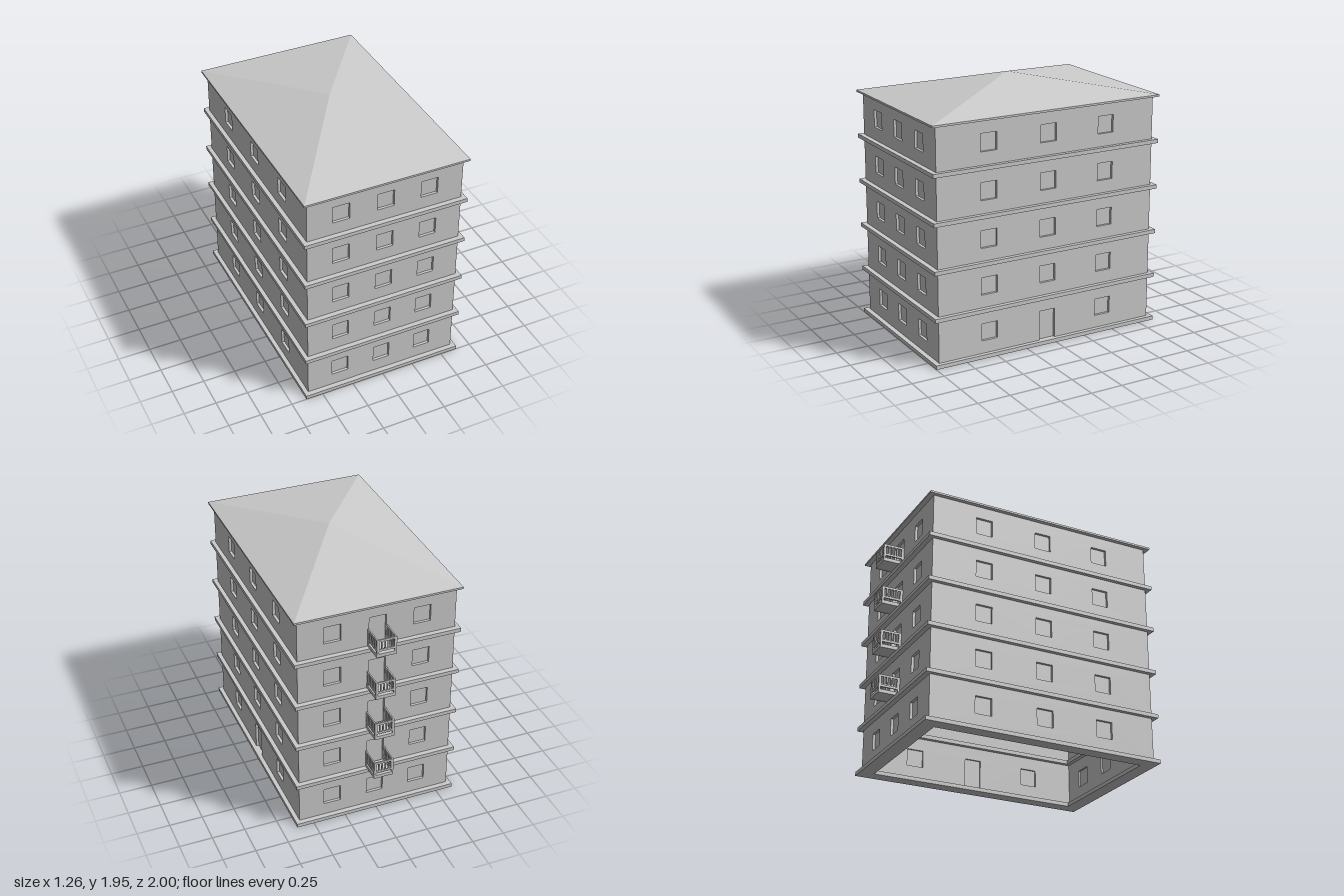
import * as THREE from 'three';

const material = new THREE.MeshStandardMaterial({ color: 0xcccccc, flatShading: true });
const STOREYS = 5, PITCH = 0.355, SLAB = 0.03;
const HALF_X = 0.6, HALF_Z = 0.9, CENTRE_Z = 0.0615;
const WALL = 0.04, LEDGE = 0.032, RECESS = 0.02, OPENING = 0.13;

function add(parent, name, geometry, x = 0, y = 0, z = 0) {
  const mesh = new THREE.Mesh(geometry, material);
  mesh.name = name;
  mesh.position.set(x, y, z);
  parent.add(mesh);
  return mesh;
}

function box(parent, name, w, h, d, x, y, z) {
  return add(parent, name, new THREE.BoxGeometry(w, h, d), x, y, z);
}

function rectangle(Type, x0, y0, x1, y1) {
  return new Type([[x0, y0], [x1, y0], [x1, y1], [x0, y1]].map(p => new THREE.Vector2(...p)));
}

function extrude(shape, depth) {
  return new THREE.ExtrudeGeometry(shape, { depth, bevelEnabled: false });
}

// Wall of one storey, outer face at z = 0, with recessed windows or a door in the middle
function makeWall(name, width, spacing, hasDoor) {
  const wall = new THREE.Group();
  wall.name = name;
  const shape = rectangle(THREE.Shape, -width / 2, SLAB / 2, width / 2, PITCH + SLAB / 2);
  for (const i of [-1, 0, 1]) {
    const isDoor = hasDoor && i === 0;
    const x = i * spacing, bottom = isDoor ? SLAB : 0.128, top = 0.26;
    shape.holes.push(rectangle(THREE.Path, x - OPENING / 2, bottom, x + OPENING / 2, top));
    box(wall, isDoor ? 'door' : 'windowPane', OPENING, top - bottom, 0.006,
      x, (top + bottom) / 2, -RECESS - 0.003);
  }
  add(wall, 'wallPanel', extrude(shape, WALL), 0, 0, -WALL);
  return wall;
}

// Ledge running round the building, projecting both outside and inside the walls
function makeLedge() {
  const ox = HALF_X + LEDGE, oz = HALF_Z + LEDGE + 0.006;
  const ix = HALF_X - WALL - LEDGE, iz = HALF_Z - WALL - LEDGE;
  const shape = rectangle(THREE.Shape, -ox, -oz, ox, oz);
  shape.holes.push(rectangle(THREE.Path, -ix, -iz, ix, iz));
  return extrude(shape, SLAB).rotateX(-Math.PI / 2);
}

// Railing panel with vertical slits above one long slot
function makeRailing(width) {
  const shape = rectangle(THREE.Shape, -width / 2, 0, width / 2, 0.142);
  const inner = width - 0.03, slits = 5, step = inner / slits;
  shape.holes.push(rectangle(THREE.Path, -inner / 2, 0.027, inner / 2, 0.047));
  for (let i = 0; i < slits; i++) {
    const x = -inner / 2 + (i + 0.5) * step;
    shape.holes.push(rectangle(THREE.Path, x - step * 0.32, 0.063, x + step * 0.32, 0.126));
  }
  return extrude(shape, 0.01);
}

// Balcony reaching out along +z from a wall at z = 0
function makeBalcony() {
  const balcony = new THREE.Group(), width = 0.152, depth = 0.162;
  balcony.name = 'balcony';
  box(balcony, 'balconyFloor', width - 0.004, 0.022, depth - 0.002, 0, 0.012, depth / 2 - 0.002);
  add(balcony, 'frontRailing', makeRailing(width), 0, 0, depth - 0.01);
  for (const side of [-1, 1]) {
    const rail = add(balcony, 'sideRailing', makeRailing(depth), side * width / 2, 0, depth / 2);
    rail.rotation.y = side * Math.PI / 2;
    rail.position.x -= side * 0.01;
  }
  return balcony;
}

export function createModel() {
  const model = new THREE.Group();
  model.name = 'apartmentBuilding';
  const building = new THREE.Group();
  building.name = 'building';
  building.position.z = CENTRE_Z;
  model.add(building);

  for (let i = 0; i < STOREYS; i++) {
    const storey = new THREE.Group();
    storey.name = 'storey' + (i + 1);
    storey.position.y = i * PITCH;
    building.add(storey);
    add(storey, 'floorLedge', makeLedge());

    // Four walls; the entrance is on one long side, balcony doors at the back
    const sideLength = 2 * (HALF_Z - WALL);
    const front = makeWall('frontWall', 2 * HALF_X, 0.34, false);
    front.position.z = HALF_Z;
    const back = makeWall('backWall', 2 * HALF_X, 0.34, i > 0);
    back.position.z = -HALF_Z;
    back.rotation.y = Math.PI;
    const left = makeWall('leftWall', sideLength, 0.487, i === 0);
    left.position.x = HALF_X;
    left.rotation.y = Math.PI / 2;
    const right = makeWall('rightWall', sideLength, 0.487, false);
    right.position.x = -HALF_X;
    right.rotation.y = -Math.PI / 2;
    storey.add(front, back, left, right);

    if (i > 0) {
      const balcony = makeBalcony();
      balcony.position.set(0, SLAB + 0.001, -HALF_Z);
      balcony.rotation.y = Math.PI;
      storey.add(balcony);
    }
  }

  // Eaves slab and low four-sided roof
  const roofX = HALF_X + LEDGE, roofZ = HALF_Z + LEDGE + 0.006;
  box(building, 'eaves', 2 * roofX, 0.015, 2 * roofZ, 0, 1.7825, 0);
  const roof = new THREE.ConeGeometry(Math.SQRT2, 0.16, 4).rotateY(Math.PI / 4);
  roof.scale(roofX, 1, roofZ);
  add(building, 'roof', roof, 0, 1.87, 0);
  return model;
}
